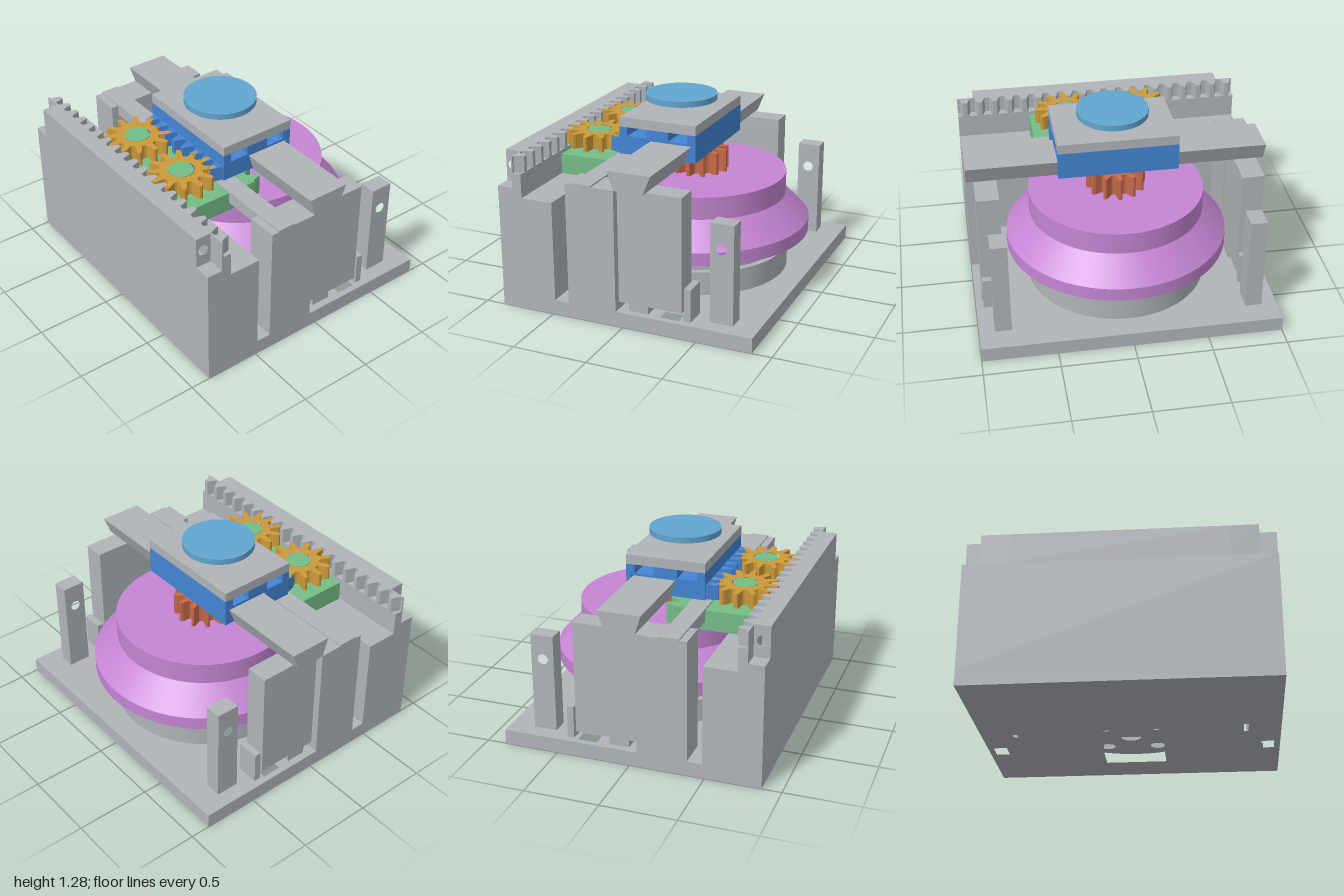
import * as THREE from 'three';

const mat = (name, color, side = THREE.FrontSide) => {
  const m = new THREE.MeshStandardMaterial({ color, side });
  m.name = name;
  return m;
};

export function createModel() {
  const root = new THREE.Group();
  root.name = 'gearedSlideMechanism';
  const gray = mat('frameGray', 0xb0b4ba);
  const purple = mat('wheelPurple', 0xc585d3);
  const green = mat('sliderGreen', 0x74bd85);
  const orange = mat('gearOrange', 0xcd9a3a);
  const red = mat('pinionRed', 0xc8694a);
  const blue = mat('carriageBlue', 0x4485d4);
  const sky = mat('discBlue', 0x62a5cf);

  const add = (name, geo, material) => {
    const mesh = new THREE.Mesh(geo, material);
    mesh.name = name;
    root.add(mesh);
    return mesh;
  };
  // Box given by its limits
  const box = (name, m, x0, x1, y0, y1, z0, z1) => {
    const g = new THREE.BoxGeometry(x1 - x0, y1 - y0, z1 - z0);
    g.translate((x0 + x1) / 2, (y0 + y1) / 2, (z0 + z1) / 2);
    return add(name, g, m);
  };
  const cyl = (name, m, r, y0, y1, x, z) => {
    const g = new THREE.CylinderGeometry(r, r, y1 - y0, 64);
    g.translate(x, (y0 + y1) / 2, z);
    return add(name, g, m);
  };
  const circle = (x, y, r) => new THREE.Path().absarc(x, y, r, 0, Math.PI * 2, true);
  const makeShape = (pts) => new THREE.Shape(pts.map(([a, b]) => new THREE.Vector2(a, b)));
  const solid = (shape, depth) => new THREE.ExtrudeGeometry(shape, { depth, bevelEnabled: false, curveSegments: 40 });
  // Horizontal slab from [x, z] outline; round holes are [x, z, r]
  const slabY = (name, m, pts, y0, y1, holes = [], cutouts = []) => {
    const s = makeShape(pts.map(([x, z]) => [x, -z]));
    holes.forEach(([x, z, r]) => s.holes.push(circle(x, -z, r)));
    cutouts.forEach((c) => s.holes.push(new THREE.Path(c.map(([x, z]) => new THREE.Vector2(x, -z)))));
    return add(name, solid(s, y1 - y0).rotateX(-Math.PI / 2).translate(0, y0, 0), m);
  };
  // Profile in [z, y] run along x; round holes are [z, y, r]
  const runX = (name, m, pts, x0, x1, holes = []) => {
    const s = makeShape(pts.map(([z, y]) => [-z, y]));
    holes.forEach(([z, y, r]) => s.holes.push(circle(-z, y, r)));
    return add(name, solid(s, x1 - x0).rotateY(Math.PI / 2).translate(x0, 0, 0), m);
  };
  const rect = (a0, a1, b0, b1) => [[a0, b0], [a1, b0], [a1, b1], [a0, b1]];
  const ring = (r, x, z, n) => Array.from({ length: n }, (_, i) => {
    const a = (i / n) * Math.PI * 2;
    return [x + r * Math.cos(a), z + r * Math.sin(a)];
  });
  // Straight rack: plain back edge, teeth reaching zTip
  const rack = (half, zBack, zRoot, zTip, n) => {
    const p = (2 * half) / n;
    const pts = [[-half, zBack]];
    for (let i = 0; i < n; i++) {
      const x = -half + i * p;
      pts.push([x + 0.02 * p, zRoot], [x + 0.15 * p, zRoot], [x + 0.36 * p, zTip], [x + 0.64 * p, zTip], [x + 0.85 * p, zRoot]);
    }
    pts.push([half, zRoot], [half, zBack]);
    return pts;
  };
  // Spur gear with rounded teeth
  const gear = (cx, cz, rRoot, rTip, n, phase) => {
    const pts = [];
    const d = rTip - rRoot;
    const tooth = [[-0.5, 0], [-0.3, 0.06], [-0.22, 0.35], [-0.17, 0.75], [-0.1, 0.96], [0, 1], [0.1, 0.96], [0.17, 0.75], [0.22, 0.35], [0.3, 0.06]];
    for (let i = 0; i < n; i++) for (const [f, h] of tooth) {
      const a = ((i + f + phase) / n) * Math.PI * 2;
      pts.push([cx + (rRoot + d * h) * Math.cos(a), cz + (rRoot + d * h) * Math.sin(a)]);
    }
    return pts;
  };

  // Base plate with mounting holes and side cut-outs
  const cz = -0.1;
  const baseHoles = [[0, cz, 0.065]];
  const baseCuts = [rect(-0.21, 0.21, -0.6, -0.36)];
  for (const s of [-1, 1]) {
    baseHoles.push([0.17 * s, cz - 0.17, 0.05], [0.17 * s, cz + 0.17, 0.05]);
    baseCuts.push(rect(0.915 * s - 0.045, 0.915 * s + 0.045, -0.37, -0.24), rect(0.77 * s - 0.015, 0.77 * s + 0.015, -0.045, 0.085));
  }
  slabY('basePlate', gray, rect(-1, 1, -0.87, 0.87), 0, 0.1, baseHoles, baseCuts);

  // Front wall with shelf, toothed rack and notched ends
  runX('frontWall', gray, [[0.87, 0.1], [0.87, 0.83], [0.765, 0.83], [0.765, 0.93], [0.7, 0.93], [0.7, 0.77], [0.485, 0.77], [0.485, 0.1]], -1, 1);
  box('frontWallTop', gray, -0.7, 0.7, 0.83, 1.04, 0.765, 0.87);
  slabY('fixedRack', gray, rack(1, 0.765, 0.755, 0.69, 19), 0.93, 1.04);

  for (const s of [-1, 1]) {
    const span = (a, b) => (s > 0 ? [a, b] : [-b, -a]);
    const [e0, e1] = span(0.7, 0.885);
    runX('frontWallEnd', gray, rect(0.765, 0.87, 0.83, 1.04), e0, e1, [[0.82, 0.94, 0.035]]);
    // Rear posts with cross holes
    const [p0, p1] = span(0.785, 0.895);
    runX('rearPost', gray, rect(-0.705, -0.55, 0.1, 0.765), p0, p1, [[-0.625, 0.6, 0.035]]);
    // Side towers and legs under the rail
    const [t0, t1] = span(0.79, 1);
    box('sideTower', gray, t0, t1, 0.1, 0.915, 0.05, 0.385);
    const [l0, l1] = span(0.8, 0.95);
    box('railLeg', gray, l0, l1, 0.15, 0.875, -0.385, 0.05);
    box('railLegCap', gray, l0, l1, 0.875, 0.915, -0.385, 0.05);
    box('legFoot', gray, l0, l1, 0.1, 0.15, -0.155, -0.02);
    box('legStop', gray, l0, l1, 0.1, 0.32, -0.445, -0.4);
  }

  // Cross bar and dovetail rail
  box('crossBar', gray, -1, 1, 0.84, 0.925, 0.205, 0.335);
  runX('dovetailRail', gray, [[0.09, 1.04], [-0.2, 1.04], [-0.15, 0.915], [0.05, 0.915]], -1, 1);

  // Round stand below the wheel
  cyl('standBase', gray, 0.61, 0.1, 0.26, 0, cz);
  cyl('standTop', gray, 0.57, 0.26, 0.365, 0, cz);

  // Wheel: drilled rim, cone and hub with counterbored holes
  const rimHoles = ring(0.66, 0, cz, 12).map(([x, z]) => [x, z, 0.04]);
  slabY('wheelRim', purple, ring(0.75, 0, cz, 96), 0.365, 0.455, rimHoles);
  add('wheelCone', new THREE.CylinderGeometry(0.59, 0.75, 0.165, 96).translate(0, 0.5375, cz), purple);
  const bolts = [[-0.09, -0.215], [0.215, -0.09], [0.09, 0.215], [-0.215, 0.09]];
  const boltHoles = (r) => bolts.map(([x, z]) => [x, cz + z, r]);
  slabY('wheelHubLower', purple, ring(0.59, 0, cz, 96), 0.62, 0.7, boltHoles(0.045));
  slabY('wheelHubUpper', purple, ring(0.59, 0, cz, 96), 0.7, 0.77, boltHoles(0.08));
  bolts.forEach(([x, z]) => cyl('boltEnd', gray, 0.044, 0.615, 0.63, x, cz + z));

  // Central pinion
  slabY('pinion', red, gear(0, cz, 0.13, 0.2, 12, 0), 0.77, 0.92);

  // Toothed slider carrying two gears on pins
  slabY('slider', green, rack(0.5, 0.685, 0.125, 0.06, 10), 0.78, 0.915);
  for (const x of [-0.25, 0.25]) {
    cyl('gearPin', green, 0.08, 0.915, 1.038, x, 0.525);
    slabY('spurGear', orange, gear(x, 0.525, 0.14, 0.22, 12, 0), 0.94, 1.04, [[x, 0.525, 0.087]]);
  }

  // Carriage on the rail, with rack, cover and floating disc
  runX('carriage', blue, [[0.3, 0.94], [0.3, 1.125], [0.245, 1.125], [0.245, 1.065], [0.11, 1.065], [0.11, 1.125],
    [-0.05, 1.125], [-0.05, 1.065], [-0.18, 1.065], [-0.18, 1.125], [-0.24, 1.125], [-0.24, 0.94],
    [-0.165, 0.94], [-0.21, 1.05], [0.1, 1.05], [0.065, 0.94]], -0.4, 0.4);
  slabY('carriageRack', blue, rack(0.4, 0.295, 0.302, 0.38, 8), 0.94, 1.04);
  box('carriageCover', gray, -0.4, 0.4, 1.125, 1.19, -0.24, 0.3);
  cyl('topDisc', sky, 0.24, 1.245, 1.285, 0, 0.03);

  return root;
}
